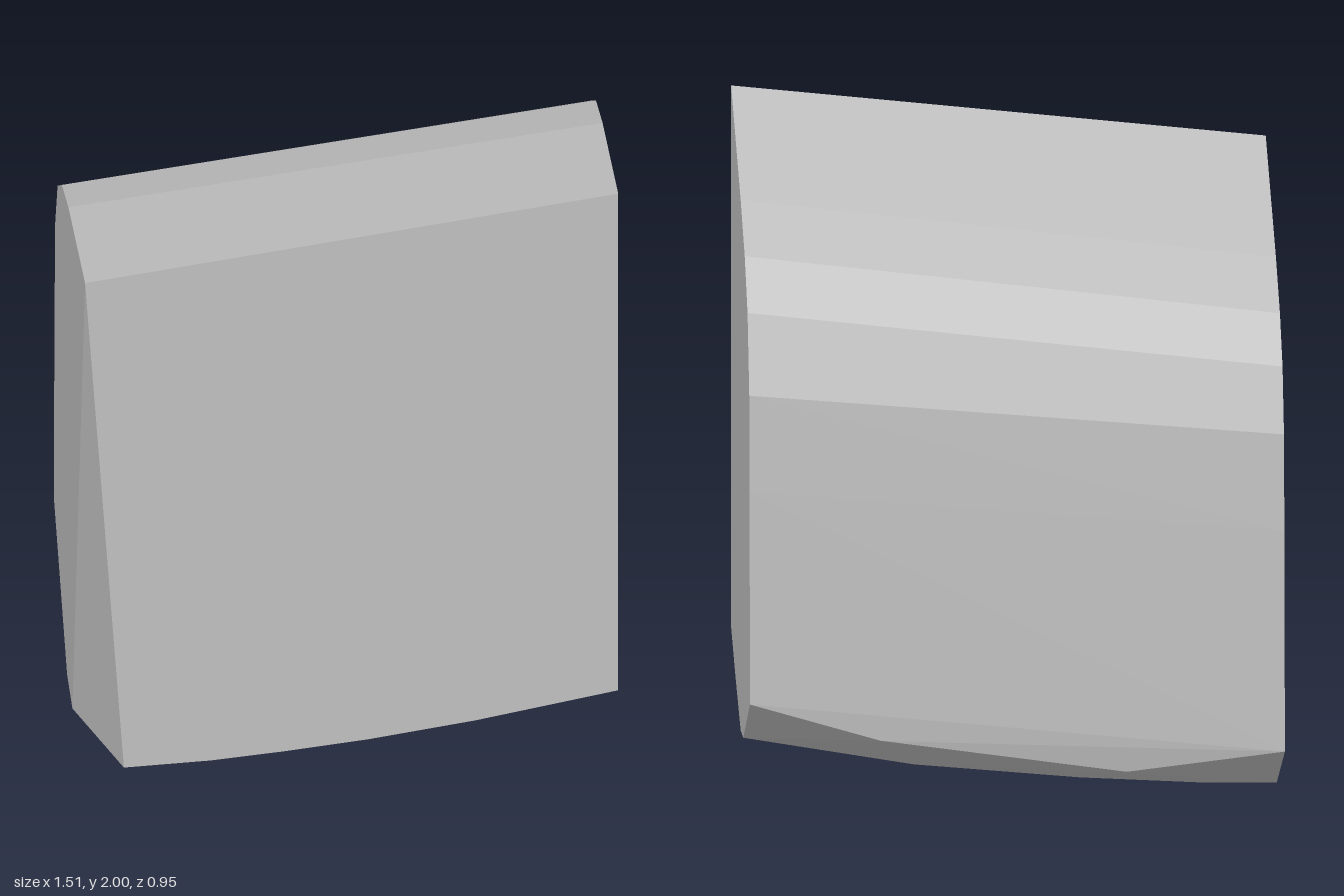
import * as THREE from 'three';
import { ConvexGeometry } from 'three/addons/geometries/ConvexGeometry.js';

export function createModel() {
  const group = new THREE.Group();
  group.name = 'chippedBlock';
  const grey = new THREE.MeshStandardMaterial({ color: 0xc0c0c0 });
  grey.name = 'plain grey';

  const points = [];
  // Adds points given as [z, y] on a plane of constant x
  const section = (x, zy) => zy.forEach(([z, y]) => points.push(new THREE.Vector3(x, y, z)));

  // High end: rounded back shoulder and bevelled foot
  section(0.755, [
    [0.475, 2], [0, 1.895], [-0.2, 1.825], [-0.34, 1.72], [-0.425, 1.5], [-0.443, 1.2],
    [-0.457, 0.52], [-0.13, 0.23], [0, 0.18], [0.27, 0.212], [0.475, 0.25],
  ]);
  // Low end: the front corner tapers inwards towards the foot
  section(-0.755, [
    [0.475, 1.79], [-0.03, 1.68], [-0.23, 1.61], [-0.36, 1.51], [-0.43, 1.33], [-0.45, 1.03],
    [-0.475, 0.33], [-0.07, 0.004], [0.09, 0.004],
  ]);
  // Curved front foot edge
  [[-0.645, 0.075], [-0.4, 0.083], [-0.2, 0.1], [0.05, 0.127], [0.35, 0.172]]
    .forEach(([x, y]) => section(x, [[0.475, y]]));
  // Underside ridge, rising towards the high end
  [[-0.55, 0], [-0.2, 0.028], [0.27, 0.085]]
    .forEach(([x, y]) => section(x, [[0.06, y], [-0.07, y + 0.01]]));
  // Lower back edge
  section(-0.31, [[-0.45, 0.265]]);
  section(0.385, [[-0.455, 0.39]]);

  const block = new THREE.Mesh(new ConvexGeometry(points), grey);
  block.name = 'block';
  group.add(block);
  return group;
}
